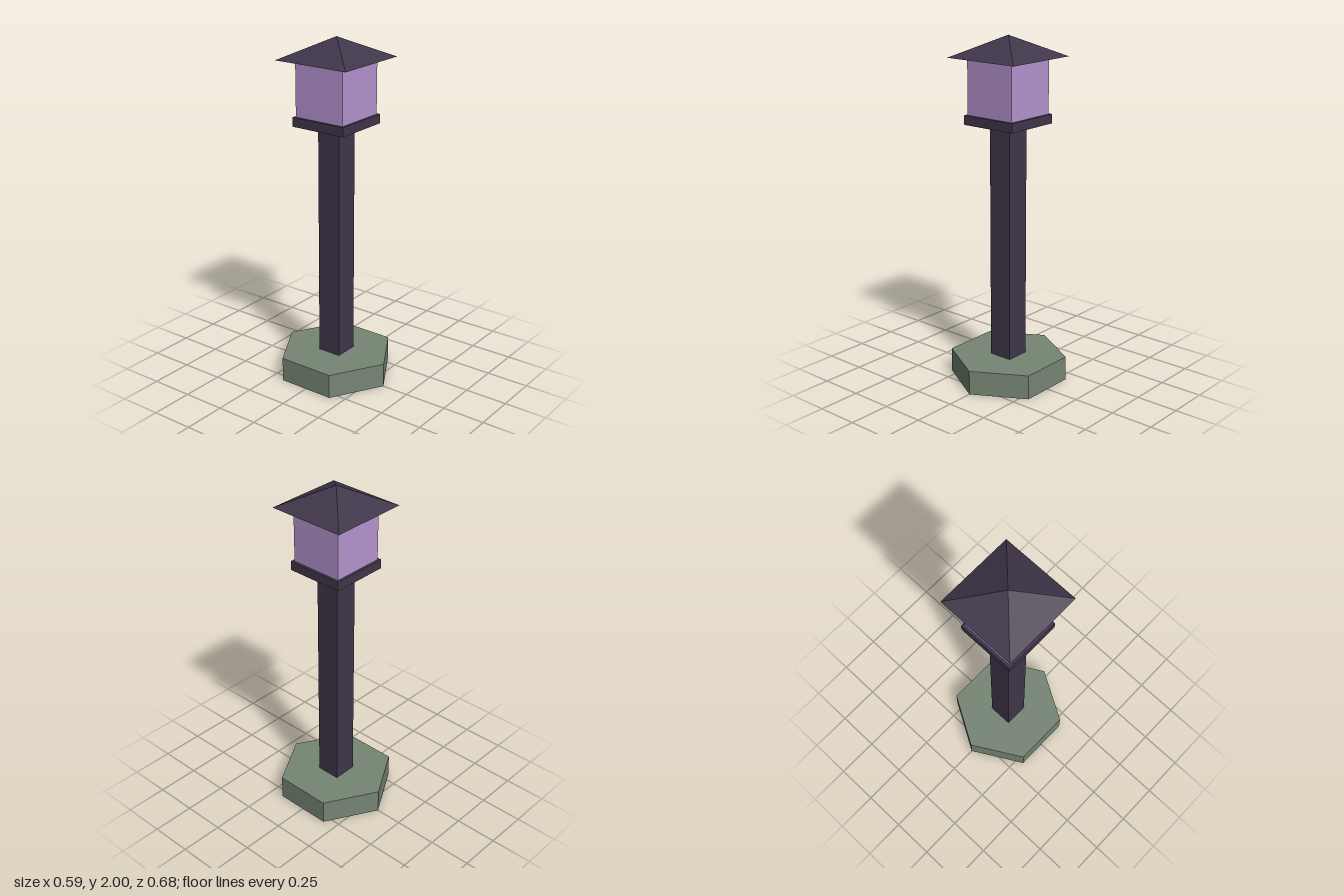
import * as THREE from 'three';

const dark = new THREE.MeshStandardMaterial({ color: 0x40364a, flatShading: true });
const stone = new THREE.MeshStandardMaterial({ color: 0x768574, flatShading: true });
const glow = new THREE.MeshStandardMaterial({ color: 0xb594d0, flatShading: true });

export function createModel() {
  const group = new THREE.Group();

  // Adds a named part spanning bottom..top on the vertical axis
  const add = (name, geometry, material, bottom, top) => {
    const mesh = new THREE.Mesh(geometry, material);
    mesh.name = name;
    mesh.position.y = (bottom + top) / 2;
    group.add(mesh);
    return mesh;
  };
  const addSquare = (name, width, material, bottom, top) =>
    add(name, new THREE.BoxGeometry(width, top - bottom, width), material, bottom, top);

  // Hexagonal foot with corners towards front and back
  add('base', new THREE.CylinderGeometry(0.34, 0.34, 0.143, 6), stone, 0, 0.143);

  // Square post, tray and lamp
  addSquare('post', 0.143, dark, 0.143, 1.51);
  addSquare('lanternTray', 0.343, dark, 1.51, 1.563);
  addSquare('lantern', 0.315, glow, 1.563, 1.88);

  // Four-sided pyramid roof, turned square to the lamp
  const roof = add('roof', new THREE.ConeGeometry(0.234 * Math.SQRT2, 0.12, 4), dark, 1.88, 2);
  roof.rotation.y = Math.PI / 4;

  return group;
}
